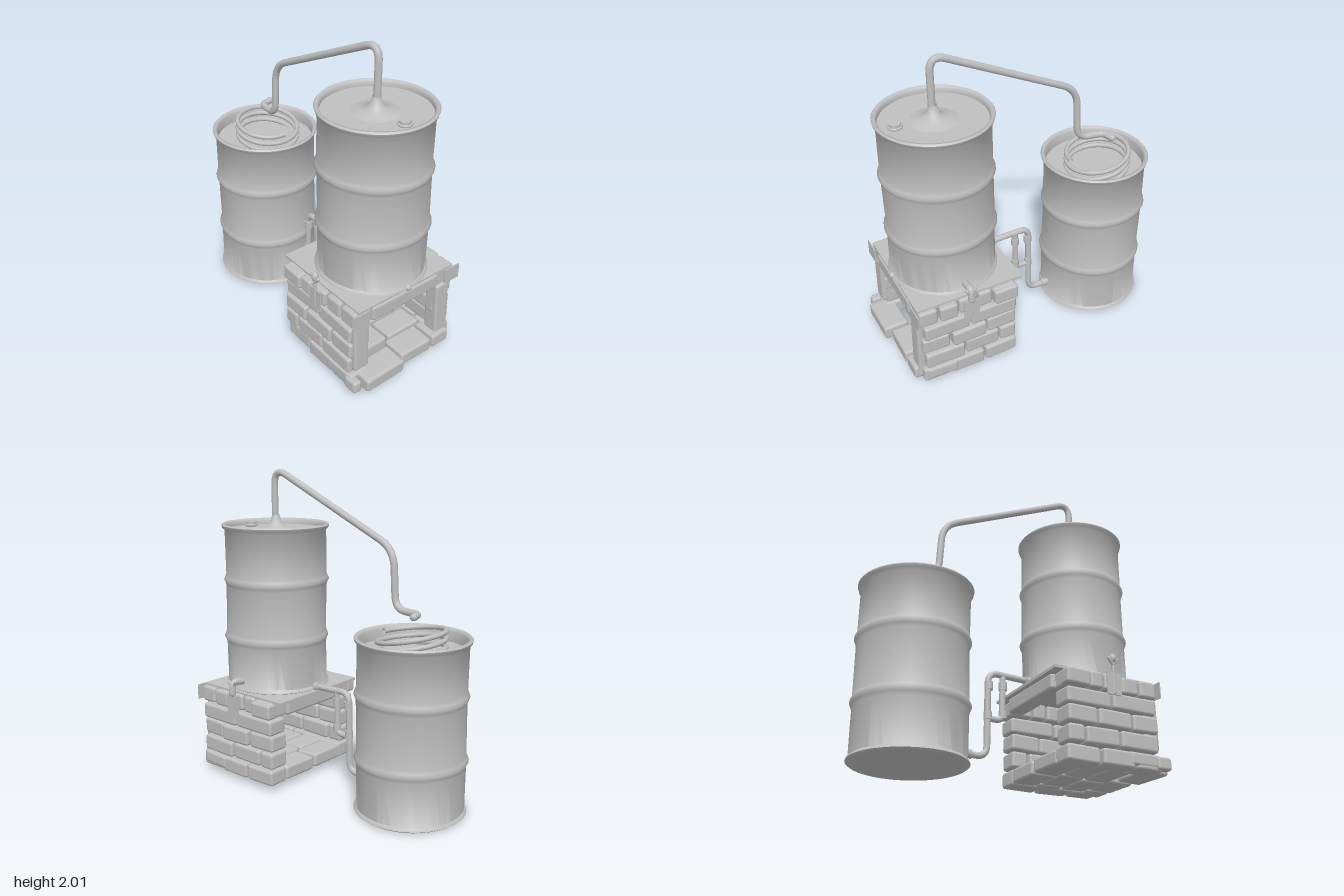
import * as THREE from 'three';
import { toCreasedNormals } from 'three/addons/utils/BufferGeometryUtils.js';
import { RoundedBoxGeometry } from 'three/addons/geometries/RoundedBoxGeometry.js';

const V = (x, y, z) => new THREE.Vector3(x, y, z);

export function createModel() {
  const root = new THREE.Group();
  const grey = new THREE.MeshStandardMaterial({ color: 0xbfbfbf, side: THREE.DoubleSide });
  grey.name = 'plain grey';

  const add = (name, geo, parent = root, x = 0, y = 0, z = 0) => {
    const mesh = new THREE.Mesh(geo, grey);
    mesh.name = name;
    mesh.position.set(x, y, z);
    parent.add(mesh);
    return mesh;
  };
  const group = (name) => {
    const g = new THREE.Group();
    g.name = name;
    root.add(g);
    return g;
  };

  // Pipe along straight runs joined by rounded elbows, with end caps
  const pipe = (name, pts, r, bend = 0.06, parent = root) => {
    const path = new THREE.CurvePath();
    let from = pts[0];
    for (let i = 1; i < pts.length - 1; i++) {
      const a = pts[i - 1], p = pts[i], b = pts[i + 1];
      const d = Math.min(bend, p.distanceTo(a) * 0.45, p.distanceTo(b) * 0.45);
      const start = p.clone().add(a.clone().sub(p).setLength(d));
      const end = p.clone().add(b.clone().sub(p).setLength(d));
      path.add(new THREE.LineCurve3(from, start));
      path.add(new THREE.QuadraticBezierCurve3(start, p, end));
      from = end;
    }
    path.add(new THREE.LineCurve3(from, pts[pts.length - 1]));
    add(name, new THREE.TubeGeometry(path, 90, r, 12), parent);
    for (const t of [pts[0], pts[pts.length - 1]]) {
      add(name + 'End', new THREE.SphereGeometry(r, 12, 8), parent, t.x, t.y, t.z);
    }
  };

  // Steel drum with rolled rims, two pressed ribs and a sunken top; slightly dented
  const drum = (name, z, y0, y1, ribs, lidY, phase) => {
    const R = 0.33;
    const p = [[0, y0 + 0.012], [R - 0.02, y0 + 0.012], [R, y0], [R + 0.014, y0 + 0.01], [R + 0.01, y0 + 0.022], [R, y0 + 0.03]];
    for (const y of ribs) p.push([R, y - 0.04], [R + 0.006, y - 0.02], [R + 0.015, y], [R + 0.006, y + 0.02], [R, y + 0.04]);
    p.push([R, y1 - 0.04], [R + 0.015, y1 - 0.026], [R + 0.02, y1 - 0.01], [R + 0.012, y1], [R - 0.004, y1 - 0.004], [R - 0.012, y1 - 0.02]);
    p.push([R - 0.012, lidY], [0, lidY - 0.01]);
    const geo = new THREE.LatheGeometry(p.map(([x, y]) => new THREE.Vector2(x, y)), 48);
    const pos = geo.attributes.position;
    for (let i = 0; i < pos.count; i++) {
      const x = pos.getX(i), y = pos.getY(i), zz = pos.getZ(i);
      const a = Math.atan2(x, zz);
      const fade = Math.sin(Math.PI * (y - y0) / (y1 - y0));
      const k = 1 + 0.012 * fade * Math.sin(3 * a + 6 * y + phase);
      pos.setX(i, x * k);
      pos.setZ(i, zz * k);
    }
    return add(name, toCreasedNormals(geo, 0.9), root, 0.005, 0, z);
  };
  drum('boilerDrum', 0.52, 0.6, 1.67, [0.93, 1.305], 1.63, 0);
  drum('coolingDrum', -0.585, 0, 1.085, [0.34, 0.735], 1.0, 2);

  // Boiler top: conical collar and bung
  const collar = [[0.16, 1.62], [0.09, 1.64], [0.04, 1.665], [0.024, 1.72]];
  add('pipeCollar', new THREE.LatheGeometry(collar.map(([x, y]) => new THREE.Vector2(x, y)), 32), root, 0, 0, 0.52);
  add('bung', new THREE.CylinderGeometry(0.034, 0.036, 0.03, 6), root, 0, 1.645, 0.75);
  add('bungRing', new THREE.TorusGeometry(0.036, 0.008, 8, 24), root, 0, 1.64, 0.75).rotation.x = Math.PI / 2;

  // Vapour pipe over to the cooling drum
  pipe('vapourPipe', [V(0, 1.63, 0.525), V(0, 2.025, 0.525), V(0, 1.58, -0.43), V(0, 1.225, -0.45), V(0.02, 1.222, -0.63), V(0.1, 1.222, -0.65)], 0.022, 0.11);

  // Condenser coil rising out of the cooling drum, tilted
  const turns = 4, coil = [];
  for (let i = 0; i <= turns * 20; i++) {
    const a = i / 20 * Math.PI * 2;
    const z = Math.cos(a) * 0.2;
    coil.push(V(0.03 + Math.sin(a) * 0.2, 0.93 + i / 20 * 0.048 - z * 0.16, -0.59 + z));
  }
  add('condenserCoil', new THREE.TubeGeometry(new THREE.CatmullRomCurve3(coil), 220, 0.015, 10));

  // Drain pipes between the drums
  const drain = group('drainPipes');
  pipe('drainPipe', [V(0, 0.625, 0.22), V(0, 0.635, -0.1), V(0, 0.11, -0.105), V(0, 0.115, -0.26)], 0.02, 0.07, drain);
  pipe('drainBranch', [V(0, 0.63, 0.0), V(0, 0.345, -0.005), V(0, 0.345, -0.1)], 0.019, 0.04, drain);
  for (const [y, z] of [[0.56, 0], [0.38, 0], [0.36, -0.1], [0.55, -0.095]]) {
    add('pipeJoint', new THREE.CylinderGeometry(0.026, 0.026, 0.05, 12), drain, 0, y, z);
  }
  for (const [y, z] of [[0.625, 0.17], [0.115, -0.22]]) {
    add('pipeFlange', new THREE.CylinderGeometry(0.028, 0.028, 0.03, 12), drain, 0, y, z).rotation.x = Math.PI / 2;
  }

  // Brick firebox
  let seed = 7;
  const jitter = (s) => {
    seed = (seed * 16807) % 2147483647;
    return (seed / 2147483647 - 0.5) * 2 * s;
  };
  const firebox = group('firebox');
  const brick = (name, x0, x1, y0, y1, z0, z1, wobble = 0.025) => {
    const geo = new RoundedBoxGeometry(x1 - x0, y1 - y0, z1 - z0, 2, 0.018);
    const m = add(name, geo, firebox, (x0 + x1) / 2, (y0 + y1) / 2, (z0 + z1) / 2);
    m.rotation.set(jitter(wobble), jitter(wobble), jitter(wobble));
  };

  // Side walls: staggered courses, mirrored left and right
  const courses = [
    [0.04, 0.14, [0.2, 0.43, 0.66, 0.85]],
    [0.15, 0.255, [0.2, 0.32, 0.56, 0.83]],
    [0.265, 0.37, [0.2, 0.41, 0.65, 0.84]],
    [0.38, 0.48, [0.2, 0.52, 0.83]],
    [0.49, 0.595, [0.2, 0.36, 0.46, 0.59, 0.72, 0.85]],
  ];
  for (const s of [-1, 1]) {
    for (const [y0, y1, cuts] of courses) {
      for (let i = 0; i < cuts.length - 1; i++) {
        const c = s * (0.335 + jitter(0.012));
        brick('wallBrick', c - 0.07, c + 0.07, y0, y1, cuts[i] + 0.006, cuts[i + 1] - 0.006);
      }
    }
    // Spare bricks bulging out of the walls
    brick('outerBrick', s * 0.385 - 0.04, s * 0.385 + 0.04, 0.49, 0.59, 0.2, 0.36);
    brick('outerBrick', s * 0.37 - 0.045, s * 0.37 + 0.045, 0.06, 0.14, 0.62, 0.82);
  }
  brick('frontPost', -0.39, -0.28, 0.17, 0.49, 0.74, 0.85);
  brick('frontPost', 0.255, 0.36, 0.06, 0.49, 0.76, 0.86);

  // Hearth floor in staggered rows
  [0.2, 0.375, 0.55, 0.725].forEach((z, row) => {
    const cuts = row % 2 ? [-0.36, -0.05, 0.21, 0.36] : [-0.27, 0.0, 0.27];
    for (let i = 0; i < cuts.length - 1; i++) {
      const out = row === 3 && i === 0 ? 0.04 : 0;
      brick('hearthBrick', cuts[i] + 0.008, cuts[i + 1] - 0.008, 0.045, 0.135, z + out, z + 0.165 + out);
    }
  });
  brick('frontHearthBrick', -0.34, -0.07, 0.05, 0.135, 0.8, 0.925);
  brick('frontHearthBrick', -0.43, -0.37, 0.05, 0.13, 0.8, 0.9);

  // Lintels and top plate carrying the boiler
  brick('frontLintel', -0.27, 0.25, 0.495, 0.595, 0.75, 0.86, 0.005);
  brick('backLintel', -0.27, 0.27, 0.495, 0.595, 0.18, 0.29, 0.005);
  add('topPlate', new THREE.BoxGeometry(0.74, 0.018, 0.7), firebox, 0, 0.597, 0.5);

  // Thin straps at the front corners
  for (const s of [-1, 1]) {
    add('cornerStrap', new THREE.BoxGeometry(0.12, 0.1, 0.008), firebox, s * 0.36, 0.55, 0.862);
    add('sideStrap', new THREE.BoxGeometry(0.008, 0.14, 0.1), firebox, s * 0.425, 0.53, 0.52);
  }

  // Taps on either side
  const taps = group('taps');
  pipe('leftTap', [V(0.32, 0.67, 0.52), V(0.42, 0.685, 0.52), V(0.425, 0.61, 0.52)], 0.022, 0.05, taps);
  pipe('rightTapRod', [V(-0.425, 0.47, 0.52), V(-0.425, 0.7, 0.52)], 0.009, 0.02, taps);
  add('rightTapKnob', new THREE.SphereGeometry(0.022, 12, 10), taps, -0.425, 0.69, 0.52).scale.y = 1.4;
  for (const s of [-1, 1]) {
    pipe('tapHandle', [V(s * 0.425, 0.65, 0.52), V(s * 0.425, 0.685, 0.55)], 0.01, 0.02, taps);
    pipe('tapHandle', [V(s * 0.425, 0.65, 0.52), V(s * 0.425, 0.69, 0.49)], 0.01, 0.02, taps);
  }
  add('frontKnob', new THREE.SphereGeometry(0.022, 12, 10), taps, 0, 0.615, 0.855);

  return root;
}
